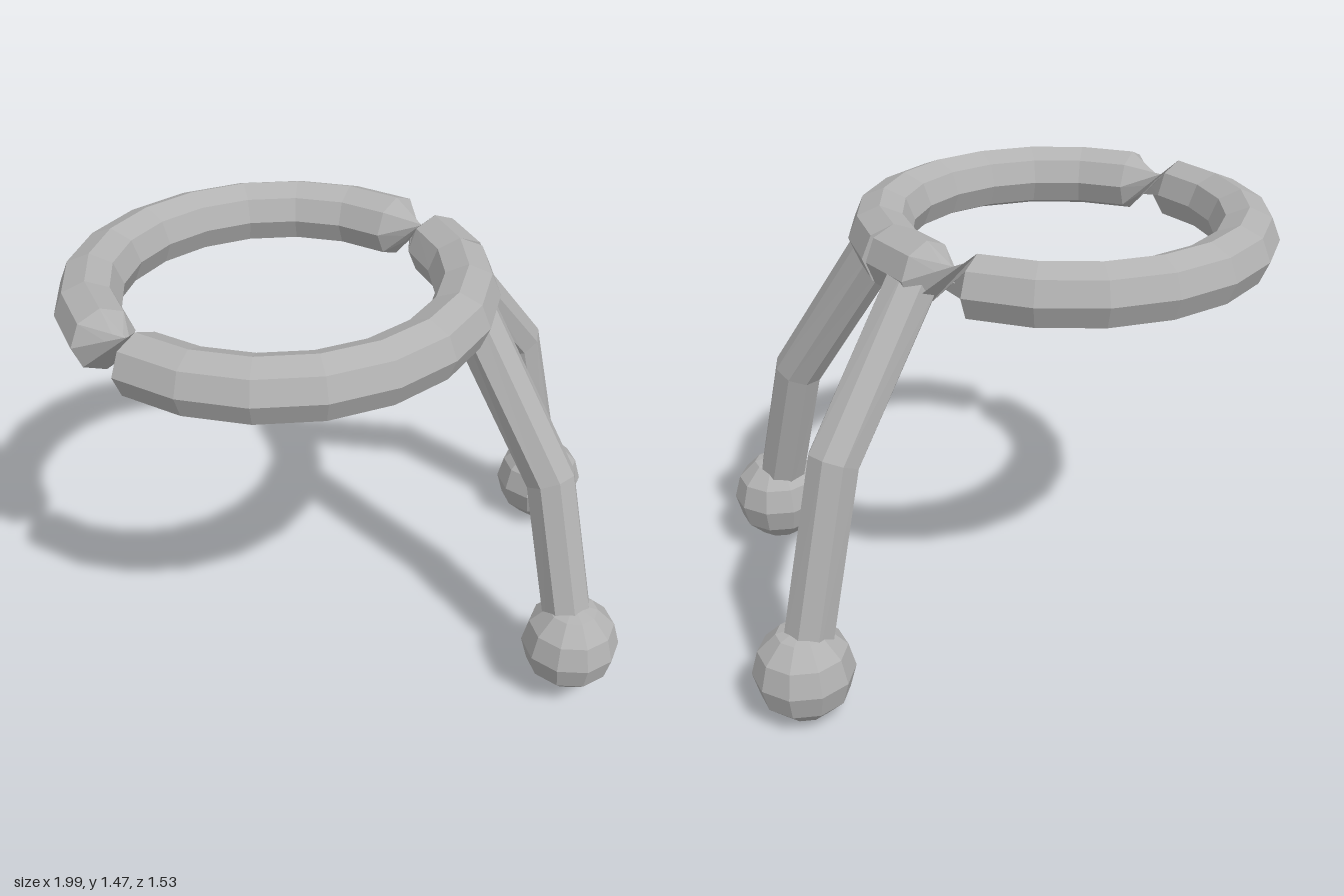
import * as THREE from 'three';

const SIDES = 8;

// Capped octagonal tube through points; flip(k) turns a section half way round.
function octTube(points, tangents, radius, ref, flip = () => false) {
  const pos = [], index = [];
  points.forEach((p, k) => {
    const t = tangents[k].clone().normalize();
    const n = ref.clone().addScaledVector(t, -ref.dot(t)).normalize();
    const b = new THREE.Vector3().crossVectors(t, n);
    for (let j = 0; j < SIDES; j++) {
      const a = (j / SIDES) * Math.PI * 2 + (flip(k) ? Math.PI : 0);
      const v = p.clone()
        .addScaledVector(n, Math.cos(a) * radius)
        .addScaledVector(b, Math.sin(a) * radius);
      pos.push(v.x, v.y, v.z);
    }
  });
  const last = (points.length - 1) * SIDES;
  for (let k = 0; k < last; k += SIDES) {
    for (let j = 0; j < SIDES; j++) {
      const a = k + j, b = k + ((j + 1) % SIDES);
      index.push(a, b, b + SIDES, a, b + SIDES, a + SIDES);
    }
  }
  for (let j = 1; j < SIDES - 1; j++) {
    index.push(0, j + 1, j, last, last + j, last + j + 1);
  }
  const indexed = new THREE.BufferGeometry();
  indexed.setAttribute('position', new THREE.Float32BufferAttribute(pos, 3));
  indexed.setIndex(index);
  const geo = indexed.toNonIndexed();
  geo.computeVertexNormals();
  return geo;
}

export function createModel() {
  const model = new THREE.Group();
  const grey = new THREE.MeshStandardMaterial({ color: 0xb2b2b2, flatShading: true, side: THREE.DoubleSide });
  grey.name = 'grey';

  const add = (name, geometry, parent = model) => {
    const mesh = new THREE.Mesh(geometry, grey);
    mesh.name = name;
    parent.add(mesh);
    return mesh;
  };

  // Ring: twenty segments, split at the +x side, pinched by two half twists
  const N = 20, R = 0.61;
  const ringPts = [], ringTan = [];
  for (let k = 0; k <= N; k++) {
    const a = (k / N) * Math.PI * 2;
    // the end sections face along the end chords, leaving a wedge gap
    const ta = a + (k === 0 ? 1 : k === N ? -1 : 0) * Math.PI / N;
    ringPts.push(new THREE.Vector3(-0.28 + R * Math.cos(a), 1.37, -0.05 - R * Math.sin(a)));
    ringTan.push(new THREE.Vector3(-Math.sin(ta), 0, -Math.cos(ta)));
  }
  add('ring', octTube(ringPts, ringTan, 0.106, new THREE.Vector3(0, 1, 0), k => k >= 2 && k <= 11));

  // Legs: bent tubes ending in ball feet
  const legs = [
    ['frontLeg', [[0.285, 1.37, 0.14], [0.515, 0.81, 0.435], [0.57, 0.225, 0.6]]],
    ['backLeg', [[0.31, 1.37, -0.19], [0.68, 0.87, -0.365], [0.835, 0.17, -0.415]]],
  ];
  for (const [name, path] of legs) {
    const leg = new THREE.Group();
    leg.name = name;
    model.add(leg);
    const pts = path.map(p => new THREE.Vector3(...p));
    const d0 = pts[1].clone().sub(pts[0]).normalize();
    const d1 = pts[2].clone().sub(pts[1]).normalize();
    add(name + 'Tube', octTube(pts, [d0, d0.clone().add(d1), d1], 0.086, new THREE.Vector3(1, 0, 0)), leg);
    const foot = add(name + 'Foot', new THREE.SphereGeometry(0.167, 10, 6), leg);
    foot.position.copy(pts[2]);
    foot.rotation.y = Math.PI / 2;
  }
  return model;
}
